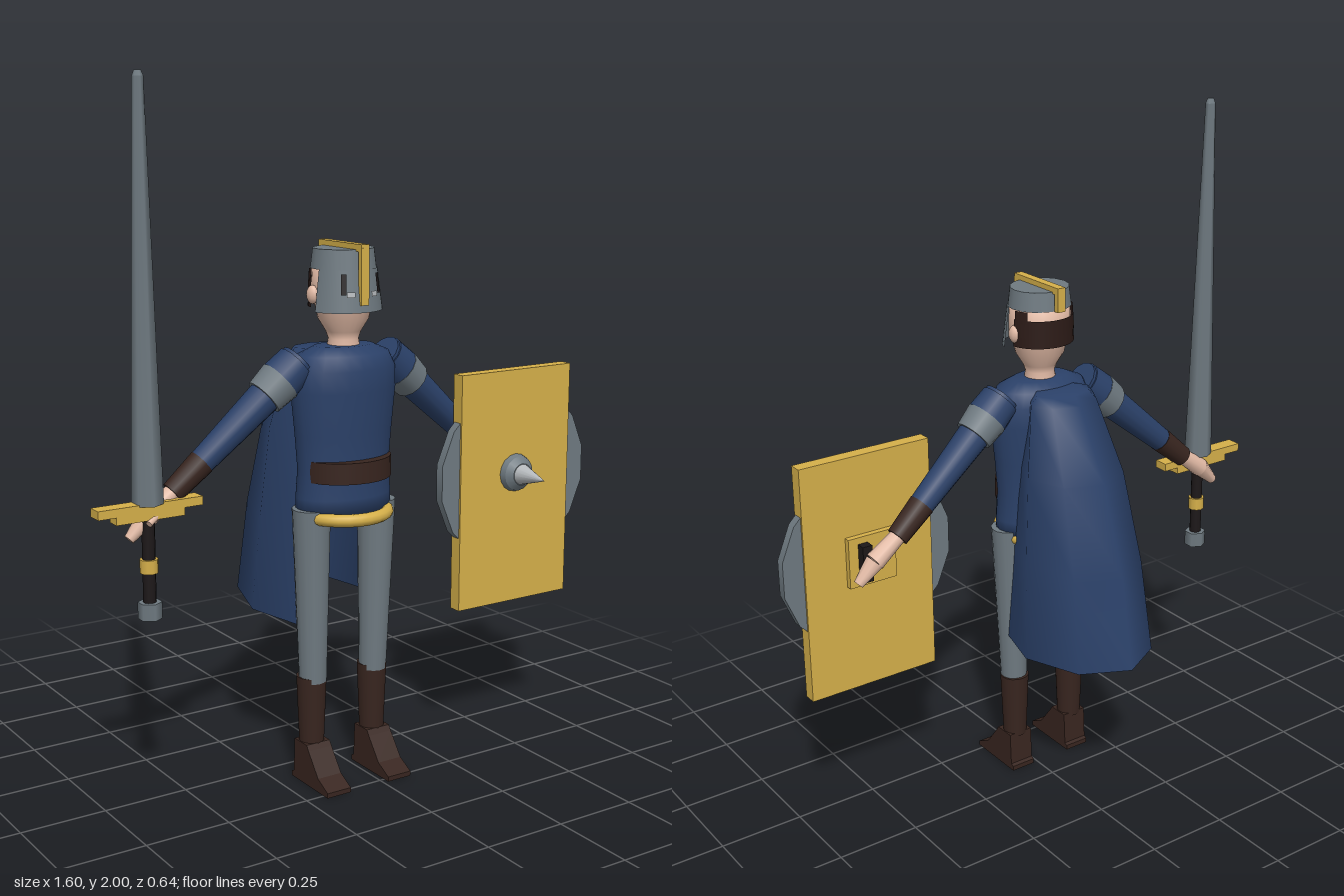
import * as THREE from 'three';

const mat = (name, color) => Object.assign(new THREE.MeshStandardMaterial({ color }), { name });
const blue = mat('blue cloth', 0x2b4169);
const steel = mat('steel', 0x6f7a81);
const bright = mat('bright steel', 0xb4b8bb);
const gold = mat('gold', 0xd6b04a);
const brown = mat('brown leather', 0x38251f);
const skin = mat('skin', 0xe3bba6);
const black = mat('black', 0x1d1819);
const hairMat = mat('dark hair', 0x2c1b17);
const arcSteel = mat('steel plate', 0x6f7a81);
const blueCape = mat('cape cloth', 0x2b4169);
arcSteel.side = blueCape.side = hairMat.side = THREE.DoubleSide;

const V = (x, y, z) => new THREE.Vector3(x, y, z);

function add(parent, name, geo, material, x = 0, y = 0, z = 0) {
  const m = new THREE.Mesh(geo, material);
  m.name = name;
  m.position.set(x, y, z);
  parent.add(m);
  return m;
}
const box = (p, name, m, w, h, d, x, y, z) => add(p, name, new THREE.BoxGeometry(w, h, d), m, x, y, z);
const cyl = (p, name, m, rTop, rBot, y0, y1, x, z, n = 16) =>
  add(p, name, new THREE.CylinderGeometry(rTop, rBot, y1 - y0, n), m, x, (y0 + y1) / 2, z);

// Tapered limb running from a to b
function limb(p, name, m, a, b, ra, rb, n = 14) {
  const d = b.clone().sub(a);
  const mesh = add(p, name, new THREE.CylinderGeometry(rb, ra, d.length(), n), m);
  mesh.position.copy(a).addScaledVector(d, 0.5);
  mesh.quaternion.setFromUnitVectors(V(0, 1, 0), d.normalize());
  return mesh;
}

// Curved plate on a cone, centred on angle mid (0 = front)
function plate(p, name, m, rTop, rBot, y0, y1, mid, span) {
  const g = new THREE.CylinderGeometry(rTop, rBot, y1 - y0, 16, 1, true, mid - span / 2, span);
  return add(p, name, g, m, 0, (y0 + y1) / 2, 0);
}

const lathe = (pts, n = 24) => new THREE.LatheGeometry(pts.map(([r, y]) => new THREE.Vector2(r, y)), n);

function buildTorso(body) {
  const tunic = add(body, 'tunic', lathe([[0, 0.79], [0.148, 0.79], [0.148, 0.84], [0.142, 0.92],
    [0.15, 1.02], [0.162, 1.14], [0.16, 1.2], [0.14, 1.24], [0.09, 1.262], [0, 1.265]]), blue);
  tunic.scale.z = 0.65;
  cyl(body, 'leatherBelt', brown, 0.135, 0.135, 0.89, 0.95, 0, 0.01, 24).scale.z = 0.86;
  const hip = add(body, 'goldHipBelt', new THREE.TorusGeometry(0.125, 0.018, 10, 28).rotateX(Math.PI / 2),
    gold, 0, 0.788, 0);
}

function buildHead(body) {
  add(body, 'neckAndJaw', lathe([[0.05, 1.24], [0.043, 1.28], [0.05, 1.3], [0.072, 1.335], [0.08, 1.37],
    [0.091, 1.4], [0.088, 1.49], [0, 1.5]]), skin).scale.z = 0.96;
  const helmet = new THREE.Group();
  helmet.name = 'helmet';
  helmet.scale.z = 0.95;
  body.add(helmet);
  cyl(helmet, 'helmetCap', steel, 0.087, 0.094, 1.475, 1.53, 0, 0);
  plate(helmet, 'faceGuard', arcSteel, 0.095, 0.11, 1.36, 1.476, 0, 2.7);
  plate(helmet, 'backHair', hairMat, 0.098, 0.1, 1.37, 1.45, Math.PI, 2.9);
  for (const s of [-1, 1]) {
    plate(helmet, 'eyeSlit', black, 0.102, 0.109, 1.41, 1.465, s * 0.55, 0.14);
    plate(helmet, 'eye', bright, 0.107, 0.109, 1.403, 1.417, s * 0.36, 0.22);
    plate(helmet, 'sideHair', hairMat, 0.096, 0.1, 1.4, 1.475, s * 1.95, 0.45);
    const ear = add(helmet, 'ear', new THREE.SphereGeometry(0.026, 10, 8), skin, s * 0.095, 1.405, -0.01);
    ear.scale.set(0.6, 1, 0.8);
  }
  // Crest running from the nose over the crown to the back
  box(body, 'crestTop', gold, 0.026, 0.02, 0.212, 0, 1.535, 0);
  box(body, 'crestFront', gold, 0.026, 0.155, 0.014, 0, 1.458, 0.1);
  box(body, 'crestBack', gold, 0.026, 0.06, 0.016, 0, 1.505, -0.098);
}

function buildArm(body, s) {
  const arm = new THREE.Group();
  arm.name = s > 0 ? 'leftArm' : 'rightArm';
  body.add(arm);
  const at = (t) => V(s * (0.14 + 0.38 * t), 1.225 - 0.325 * t, -0.01 - 0.03 * t);
  limb(arm, 'sleeve', blue, at(0), at(0.8), 0.054, 0.036);
  limb(arm, 'shoulderCap', blue, at(0.02), at(0.16), 0.058, 0.062);
  limb(arm, 'shoulderPlate', steel, at(0.15), at(0.28), 0.063, 0.056);
  limb(arm, 'cuff', brown, at(0.77), at(1), 0.038, 0.032);
  limb(arm, 'palm', skin, at(0.98), V(s * 0.595, 0.845, -0.04), 0.024, 0.03, 10);
  limb(arm, 'fingers', skin, V(s * 0.595, 0.845, -0.04), V(s * 0.65, 0.79, -0.04), 0.029, 0.015, 10);
  limb(arm, 'thumb', skin, V(s * 0.56, 0.865, -0.025), V(s * 0.61, 0.835, 0), 0.014, 0.009, 8);
}

function buildLeg(body, s) {
  const leg = new THREE.Group();
  leg.name = s > 0 ? 'leftLeg' : 'rightLeg';
  body.add(leg);
  limb(leg, 'hose', steel, V(s * 0.103, 0.3, 0), V(s * 0.11, 0.81, 0.005), 0.04, 0.055);
  cyl(leg, 'bootShaft', brown, 0.044, 0.036, 0.11, 0.315, s * 0.104, -0.005);
  const side = new THREE.Shape([[-0.05, 0], [0.14, 0], [0.14, 0.014], [0.09, 0.04], [0.04, 0.105],
    [0.03, 0.12], [-0.035, 0.12], [-0.04, 0.02], [-0.05, 0.015]].map(([z, y]) => new THREE.Vector2(z, y)));
  const foot = new THREE.ExtrudeGeometry(side, { depth: 0.078, bevelEnabled: false });
  foot.translate(0, 0, -0.039).rotateY(-Math.PI / 2);
  add(leg, 'bootFoot', foot, brown, s * 0.104, 0, 0);
}

// Eight-sided cape, open toward the front: rows of [y, half width, back z, side z, front z]
function buildCape(root) {
  const rows = [[1.245, 0.09, -0.04, 0.02, 0.06], [1.22, 0.11, -0.065, 0.02, 0.07],
    [1.02, 0.15, -0.18, -0.02, 0.08], [0.76, 0.172, -0.27, -0.04, 0.1], [0.475, 0.19, -0.32, -0.06, 0.12]];
  const pos = [], idx = [];
  rows.forEach(([y, w, back, mid, front], r) => {
    for (let i = 0; i < 7; i++) {
      const a = (i - 3) * Math.PI / 4, c = Math.cos(a);
      const z = c >= 0 ? mid + (back - mid) * c : mid + (front - mid) * Math.min(1, -c * 1.4);
      pos.push(Math.sin(a) * w, y + (r === 4 ? 0.015 * c : 0), z);
      if (r < 4 && i < 6) {
        const k = r * 7 + i;
        idx.push(k, k + 1, k + 7, k + 1, k + 8, k + 7);
      }
    }
  });
  // Close the top behind the neck
  for (let i = 1; i < 6; i++) idx.push(0, i + 1, i);
  const g = new THREE.BufferGeometry();
  g.setAttribute('position', new THREE.Float32BufferAttribute(pos, 3));
  // Wind the faces so that they point outward
  for (let i = 0; i < idx.length; i += 3) [idx[i + 1], idx[i + 2]] = [idx[i + 2], idx[i + 1]];
  g.setIndex(idx);
  g.computeVertexNormals();
  add(root, 'cape', g, blueCape, -0.05, 0, 0);
}

function buildSword(root) {
  const sword = new THREE.Group();
  sword.name = 'sword';
  sword.position.set(-0.652, 0, 0.108);
  root.add(sword);
  cyl(sword, 'blade', steel, 0.015, 0.043, 0.885, 1.985, 0, 0, 6);
  cyl(sword, 'bladeTip', steel, 0.009, 0.015, 1.985, 2, 0, 0, 6);
  box(sword, 'crossguard', gold, 0.306, 0.024, 0.046, 0, 0.878, 0);
  box(sword, 'lowerGuard', gold, 0.2, 0.022, 0.04, 0, 0.855, 0);
  cyl(sword, 'grip', black, 0.018, 0.018, 0.61, 0.85, 0, 0, 10);
  cyl(sword, 'gripRing', gold, 0.025, 0.025, 0.697, 0.735, 0, 0, 10);
  cyl(sword, 'pommel', steel, 0.033, 0.033, 0.57, 0.616, 0, 0, 6);
}

function buildShield(root) {
  const shield = new THREE.Group();
  shield.name = 'shield';
  shield.position.set(0.528, 0.79, 0.168);
  root.add(shield);
  const round = (name, m, rFront, rBack, depth, y, z, n) =>
    add(shield, name, new THREE.CylinderGeometry(rFront, rBack, depth, n).rotateX(Math.PI / 2), m, 0, y, z);
  box(shield, 'panel', gold, 0.408, 0.71, 0.04, 0, 0, 0);
  const disc = round('roundPlate', steel, 0.272, 0.272, 0.028, 0.04, 0, 16);
  disc.rotation.z = Math.PI / 16;
  round('bossRim', steel, 0.052, 0.058, 0.02, 0.043, 0.028, 16);
  round('bossDome', steel, 0.033, 0.052, 0.016, 0.043, 0.046, 16);
  round('spike', bright, 0.001, 0.033, 0.105, 0.043, 0.1, 16);
  box(shield, 'backPlate', gold, 0.15, 0.15, 0.02, 0, 0.045, -0.028);
  box(shield, 'handle', black, 0.03, 0.11, 0.03, 0.03, 0.045, -0.05);
}

export function createModel() {
  const root = new THREE.Group();
  root.name = 'knight';
  const body = new THREE.Group();
  body.name = 'body';
  body.position.set(-0.05, 0, 0.13);
  root.add(body);
  buildTorso(body);
  buildHead(body);
  for (const s of [-1, 1]) {
    buildArm(body, s);
    buildLeg(body, s);
  }
  buildCape(root);
  buildSword(root);
  buildShield(root);
  return root;
}
